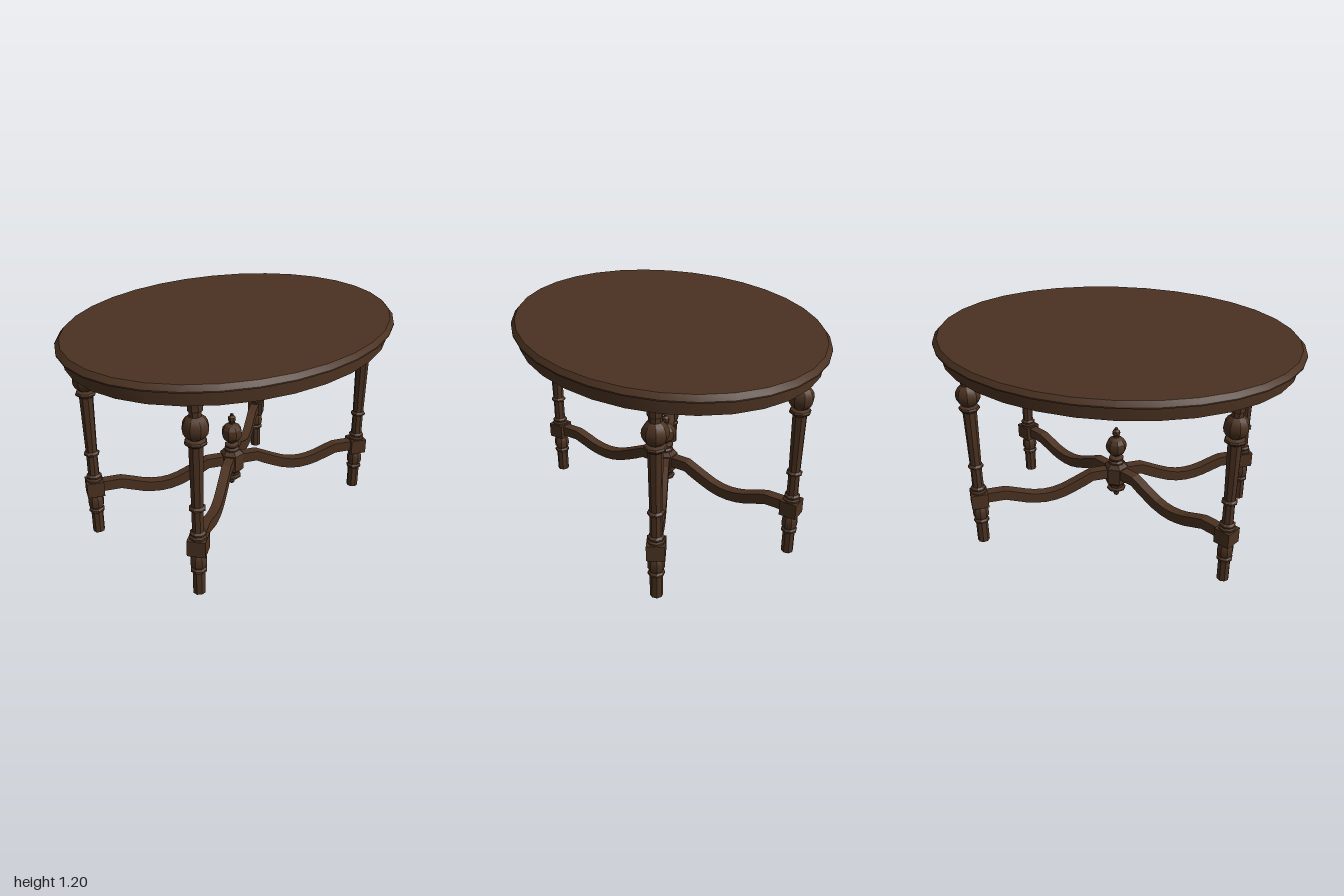
import * as THREE from 'three';
import { toCreasedNormals } from 'three/addons/utils/BufferGeometryUtils.js';

const wood = new THREE.MeshStandardMaterial({ color: 0x4b3221 });
wood.name = 'dark walnut';

const LEG_X = 0.7, LEG_Z = 0.405;
const ANGLE = Math.atan2(LEG_Z, LEG_X);

function part(name, geometry) {
  const mesh = new THREE.Mesh(geometry, wood);
  mesh.name = name;
  return mesh;
}

// Turned piece from [radius, y] pairs, bottom to top, with crisp facets
function turned(profile, sides, crease = 0.4, start = 0) {
  const points = profile.map(([r, y]) => new THREE.Vector2(r, y));
  return toCreasedNormals(new THREE.LatheGeometry(points, sides, start), crease);
}

// Points of a turned ball between two heights
function ball(radius, y, neck, steps = 6) {
  const from = Math.acos(neck / radius);
  return Array.from({ length: steps + 1 }, (_, i) => {
    const a = -from + (2 * from * i) / steps;
    return [radius * Math.cos(a), y + radius * Math.sin(a)];
  });
}

// Curved rail of constant thickness, running outward along +x
function stretcherGeometry() {
  const centre = new THREE.SplineCurve([
    [0.15, 0.333], [0.24, 0.29], [0.34, 0.25], [0.43, 0.238],
    [0.52, 0.25], [0.6, 0.277], [0.66, 0.297],
  ].map(([x, y]) => new THREE.Vector2(x, y))).getPoints(10);
  centre.unshift(new THREE.Vector2(0, 0.333));
  centre.push(new THREE.Vector2(0.79, 0.297));
  const half = 0.03;
  const upper = [], lower = [];
  centre.forEach((p, i) => {
    const a = centre[Math.max(i - 1, 0)], b = centre[Math.min(i + 1, centre.length - 1)];
    const t = b.clone().sub(a).normalize();
    upper.push(new THREE.Vector2(p.x - t.y * half, p.y + t.x * half));
    lower.push(new THREE.Vector2(p.x + t.y * half, p.y - t.x * half));
  });
  const shape = new THREE.Shape([...lower, ...upper.reverse()]);
  return new THREE.ExtrudeGeometry(shape, { depth: 0.054, bevelEnabled: false }).translate(0, 0, -0.027);
}

export function createModel() {
  const table = new THREE.Group();
  table.name = 'ovalTable';

  // Oval top with bevelled lip, and apron below
  const top = part('tableTop', turned([[0, 1.165], [1, 1.165], [1, 1.172], [0.975, 1.197], [0, 1.197]], 32));
  top.scale.z = 0.8;
  const apron = part('apron', turned([[0, 1.09], [0.963, 1.09], [0.963, 1.168]], 32));
  apron.scale.z = 0.8;
  table.add(top, apron);

  // Eight-sided turned legs with square joint blocks and curved rails
  const legGeometry = turned([
    [0, 0], [0.034, 0], [0.034, 0.13], [0.044, 0.137], [0.044, 0.148], [0.035, 0.158],
    [0.043, 0.172], [0.045, 0.195], [0.043, 0.218], [0.036, 0.232], [0.036, 0.25],
    [0.046, 0.25], [0.046, 0.345], [0.034, 0.35], [0.043, 0.357], [0.043, 0.366], [0.032, 0.376],
    [0.031, 0.494], [0.043, 0.501], [0.043, 0.51], [0.032, 0.52], [0.038, 0.848],
    [0.054, 0.86], [0.057, 0.868], [0.052, 0.877], [0.034, 0.883],
    ...ball(0.067, 0.943, 0.032),
    [0.032, 1.025], [0.039, 1.035], [0.039, 1.095],
  ], 8, 0.4, Math.PI / 8);
  const blockGeometry = new THREE.BoxGeometry(0.095, 0.088, 0.095);
  const railGeometry = stretcherGeometry();

  for (const sx of [1, -1]) for (const sz of [1, -1]) {
    const turn = -Math.atan2(sz * LEG_Z, sx * LEG_X);
    const leg = part('leg', legGeometry);
    leg.position.set(sx * LEG_X, 0, sz * LEG_Z);
    const block = part('legBlock', blockGeometry);
    block.position.set(sx * LEG_X, 0.291, sz * LEG_Z);
    block.rotation.y = turn;
    const rail = part('stretcher', railGeometry);
    rail.rotation.y = turn;
    table.add(leg, block, rail);
  }

  // Six-sided hub where the rails meet
  table.add(part('hub', turned([
    [0, 0.25], [0.048, 0.25], [0.07, 0.27], [0.07, 0.37], [0.048, 0.392], [0, 0.392],
  ], 6, 0.2, Math.PI / 6)));

  // Finial above the hub and drop pendant below it
  table.add(part('finial', turned([
    [0.045, 0.385], [0.045, 0.4], [0.034, 0.41], [0.044, 0.418], [0.044, 0.428], [0.02, 0.438],
    ...ball(0.062, 0.503, 0.018),
    [0.016, 0.568], [0.024, 0.586], [0.022, 0.6], [0.01, 0.612], [0.01, 0.62], [0, 0.627],
  ], 8, 0.4, Math.PI / 8)));
  table.add(part('pendant', turned([
    [0, 0.162], [0.013, 0.167], [0.018, 0.177], [0.013, 0.187], [0.01, 0.2], [0.025, 0.208],
    [0.055, 0.214], [0.055, 0.224], [0.04, 0.23], [0.046, 0.238], [0.046, 0.26],
  ], 8, 0.4, Math.PI / 8)));

  return table;
}
